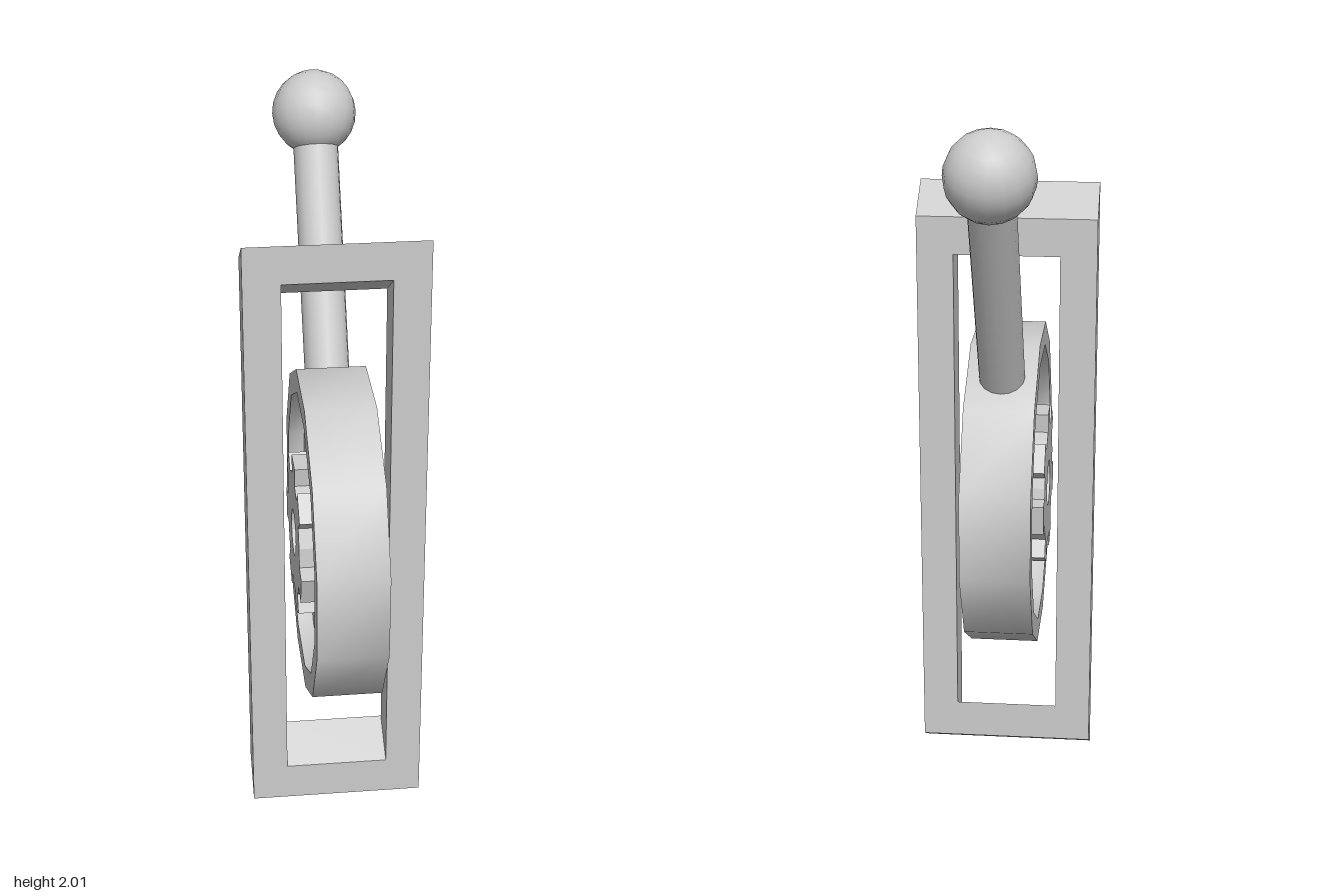
import * as THREE from 'three';
import { toCreasedNormals } from 'three/addons/utils/BufferGeometryUtils.js';

const material = new THREE.MeshStandardMaterial({ color: 0xcccccc });
const deg = THREE.MathUtils.degToRad;

function part(name, geometry, parent) {
  const mesh = new THREE.Mesh(geometry, material);
  mesh.name = name;
  parent.add(mesh);
  return mesh;
}

function rectangle(path, halfWidth, bottom, top) {
  path.moveTo(-halfWidth, bottom);
  path.lineTo(halfWidth, bottom);
  path.lineTo(halfWidth, top);
  path.lineTo(-halfWidth, top);
  path.closePath();
  return path;
}

// Upright slotted plate whose top and bottom slope inward towards the back
function frameGeometry() {
  const shape = rectangle(new THREE.Shape(), 0.245, 0, 1.735);
  shape.holes.push(rectangle(new THREE.Path(), 0.145, 0.11, 1.63));
  const geometry = new THREE.ExtrudeGeometry(shape, { depth: 0.12, bevelEnabled: false });
  const pos = geometry.attributes.position;
  for (let i = 0; i < pos.count; i++) {
    if (pos.getZ(i) < 0.06) pos.setY(i, pos.getY(i) + (pos.getY(i) > 0.87 ? -0.073 : 0.073));
  }
  geometry.computeVertexNormals();
  return geometry.translate(0, 0, 0.043);
}

// Twelve-sided wheel with a raised rim on both faces, axis along x
function wheelGeometry() {
  const profile = [
    [0, -0.05], [0.395, -0.05], [0.395, -0.095], [0.459, -0.095],
    [0.459, 0.095], [0.395, 0.095], [0.395, 0.05], [0, 0.05],
  ].map(([r, y]) => new THREE.Vector2(r, y));
  const geometry = new THREE.LatheGeometry(profile, 12);
  geometry.rotateZ(-Math.PI / 2).rotateX(deg(15));
  return toCreasedNormals(geometry, 0.7);
}

// Unevenly toothed gear with a round bore, passing through the wheel
function gearGeometry() {
  const teeth = [-6, 40, 91, 134, 197, 246, 301];
  const points = [];
  const add = (radius, angle) =>
    points.push(new THREE.Vector2(radius * Math.cos(deg(angle)), radius * Math.sin(deg(angle))));
  teeth.forEach((angle, i) => {
    const next = i < teeth.length - 1 ? teeth[i + 1] : teeth[0] + 360;
    add(0.172, angle - 13);
    add(0.225, angle - 11);
    add(0.225, angle + 11);
    add(0.172, angle + 13);
    add(0.172, (angle + next) / 2);
  });
  const shape = new THREE.Shape(points);
  shape.holes.push(new THREE.Path().absarc(0, 0, 0.065, 0, Math.PI * 2, true));
  const geometry = new THREE.ExtrudeGeometry(shape, { depth: 0.22, bevelEnabled: false, curveSegments: 8 });
  return geometry.rotateY(Math.PI / 2).translate(-0.115, 0, 0);
}

export function createModel() {
  const model = new THREE.Group();
  model.name = 'leverSwitch';
  part('frame', frameGeometry(), model);

  // Wheel, shaft and knob tilt back together
  const lever = new THREE.Group();
  lever.name = 'lever';
  lever.position.set(0, 0.87, 0.11);
  lever.rotation.x = deg(-28.1);
  model.add(lever);
  part('wheel', wheelGeometry(), lever);
  part('shaft', new THREE.CylinderGeometry(0.062, 0.062, 0.72, 16), lever).position.y = 0.77;
  part('knob', new THREE.SphereGeometry(0.116, 16, 12), lever).position.y = 1.156;

  part('gear', gearGeometry(), model).position.copy(lever.position);
  return model;
}
